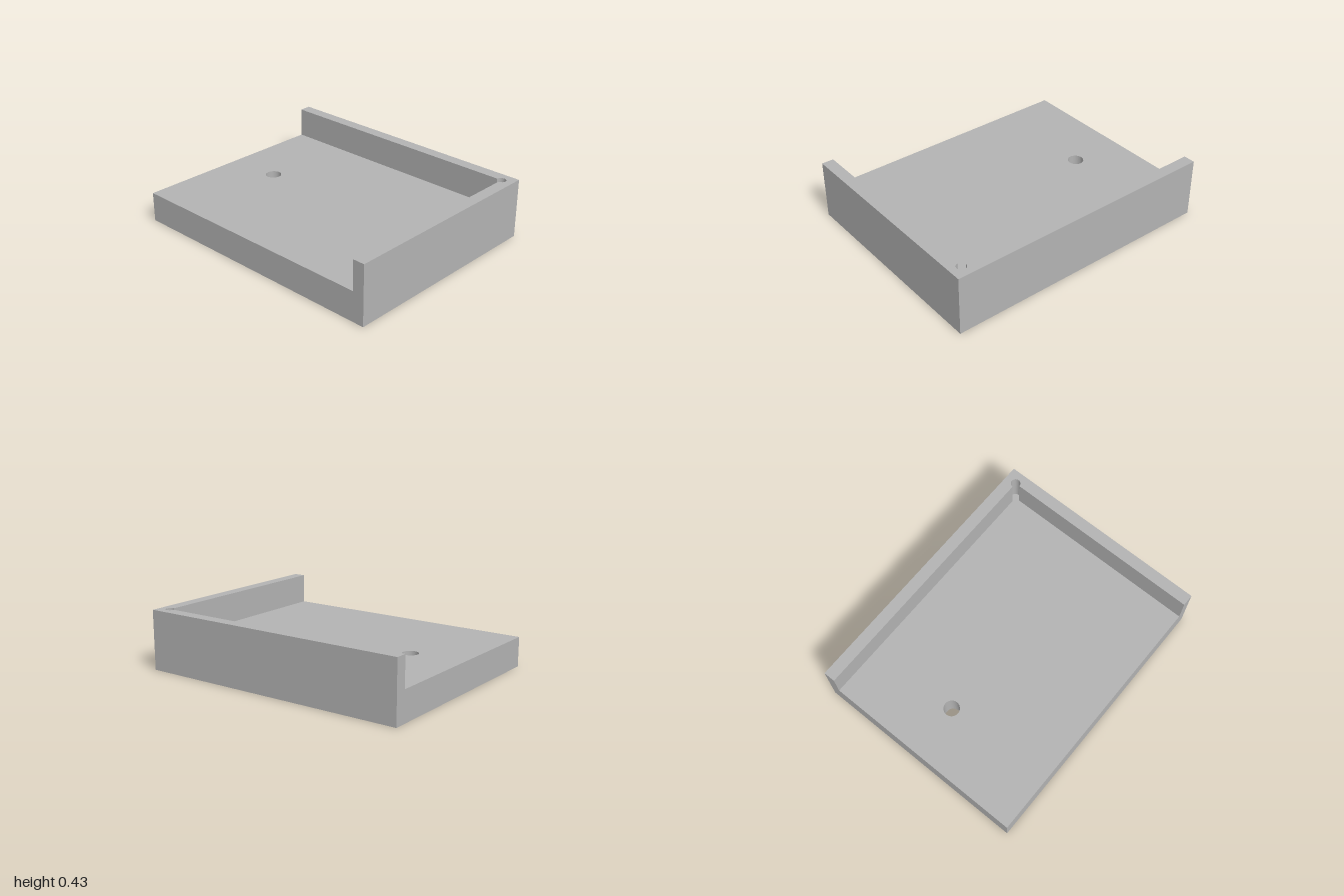
import * as THREE from 'three';

const W = 0.785, D = 1, H = 0.43;      // half width, half depth, full height
const FLOOR = 0.215, SKIN = 0.02;      // tray floor height, depth of the underside recesses
const HOLE = { x: 0.02, z: -0.61, r: 0.056, flare: 0.063 };

// Plan shapes use (x, -z); the extrusion is turned so that it rises along y.
function slab(name, shape, y0, y1, material) {
  const geometry = new THREE.ExtrudeGeometry(shape, { depth: y1 - y0, bevelEnabled: false, curveSegments: 32 });
  geometry.rotateX(-Math.PI / 2);
  geometry.translate(0, y0, 0);
  const mesh = new THREE.Mesh(geometry, material);
  mesh.name = name;
  return mesh;
}

function rectangle(Type, x0, x1, z0, z1) {
  return new Type([[x0, z1], [x1, z1], [x1, z0], [x0, z0]].map(([x, z]) => new THREE.Vector2(x, -z)));
}

function basePlan(holeRadius) {
  const shape = rectangle(THREE.Shape, -W, W, -D, D);
  const hole = new THREE.Path();
  hole.absarc(HOLE.x, -HOLE.z, holeRadius, 0, Math.PI * 2, true);
  shape.holes.push(hole);
  return shape;
}

export function createModel() {
  const model = new THREE.Group();
  model.name = 'cornerTray';
  const grey = new THREE.MeshStandardMaterial({ color: 0xb3b3b3 });
  grey.name = 'grey';

  // Floor plate with a round through hole
  model.add(slab('floorPlate', basePlan(HOLE.r), SKIN, FLOOR, grey));

  // Underside layer with two shallow slots
  const under = basePlan(HOLE.flare);
  for (const x of [-0.45, -0.39]) {
    under.holes.push(rectangle(THREE.Path, x - 0.02, x + 0.02, 0.5, 0.7));
  }
  model.add(slab('underside', under, 0, SKIN, grey));

  // Chamfer at the lower rim of the hole, facing inwards
  const chamfer = new THREE.Mesh(new THREE.LatheGeometry(
    [new THREE.Vector2(HOLE.r, SKIN), new THREE.Vector2(HOLE.flare, 0)], 64), grey);
  chamfer.position.set(HOLE.x, 0, HOLE.z);
  chamfer.name = 'holeChamfer';
  model.add(chamfer);

  // Front and left walls in one L, with a round relief in the inner corner
  const inX = 0.7, inZ = 0.915, relief = 0.034;
  const walls = new THREE.Shape();
  walls.moveTo(-W, -D);
  walls.lineTo(W, -D);
  walls.lineTo(W, D);
  walls.lineTo(inX, D);
  walls.lineTo(inX, -inZ + relief);
  walls.absarc(inX, -inZ, relief, Math.PI / 2, -Math.PI, true);
  walls.lineTo(-W, -inZ);
  walls.closePath();
  model.add(slab('cornerWalls', walls, FLOOR, H, grey));

  return model;
}
